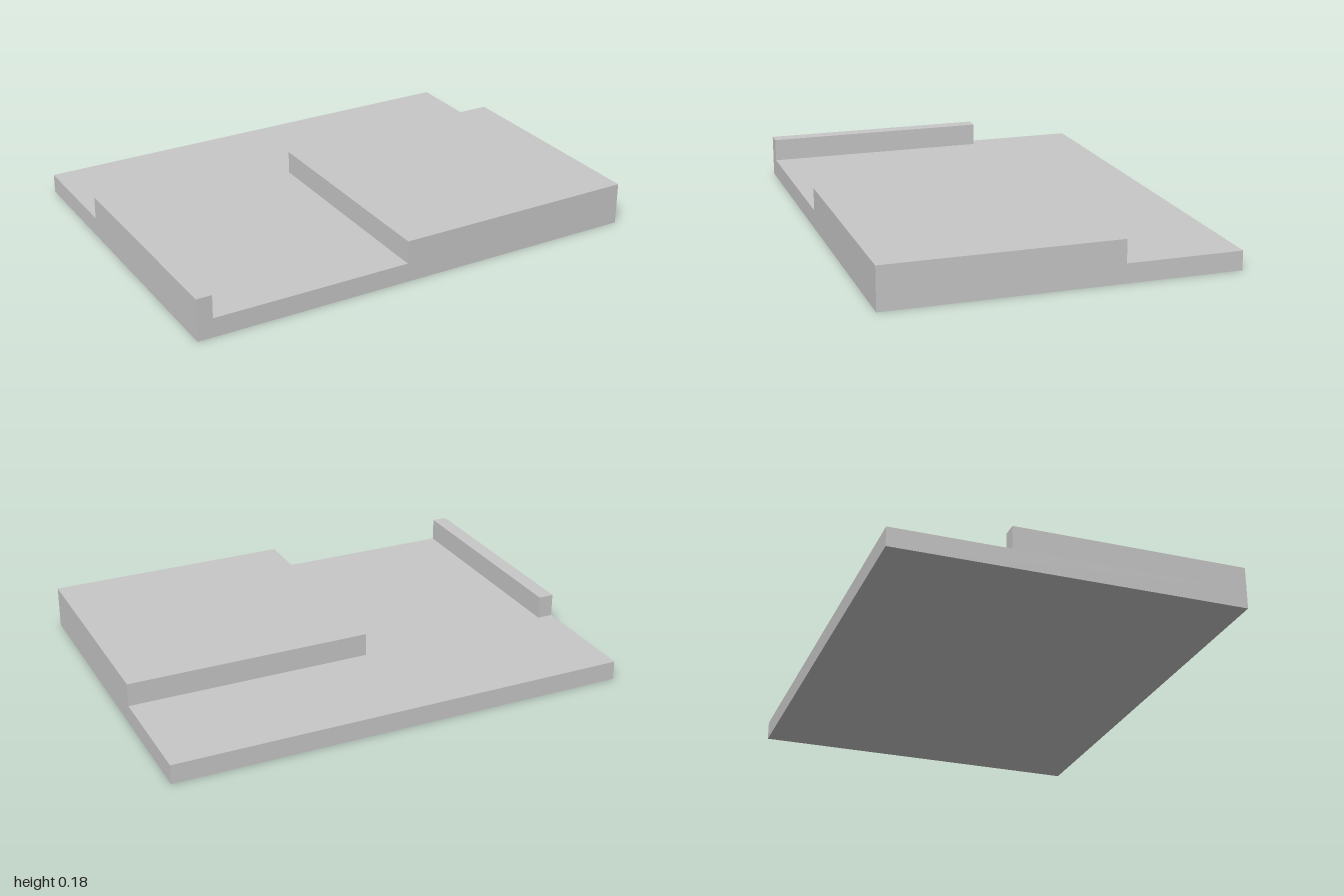
import * as THREE from 'three';

// Box given by its minimum and maximum corners
function block(name, min, max, material) {
  const size = max.map((v, i) => v - min[i]);
  const mesh = new THREE.Mesh(new THREE.BoxGeometry(...size), material);
  mesh.name = name;
  mesh.position.set(...max.map((v, i) => (v + min[i]) / 2));
  return mesh;
}

export function createModel() {
  const group = new THREE.Group();
  group.name = 'steppedSlab';

  const grey = new THREE.MeshStandardMaterial({ color: 0xc8c8c8 });
  grey.name = 'lightGrey';

  const slabTop = 0.083, top = 0.183;
  const front = 0.75, stepBack = -0.25;

  group.add(
    // Full-size base slab
    block('baseSlab', [-1, 0, -0.75], [1, slabTop, front], grey),
    // Raised platform on the front left
    block('platform', [-0.067, slabTop, stepBack], [1, top, front], grey),
    // Narrow curb along the right edge
    block('curb', [-1, slabTop, stepBack], [-0.933, top, front], grey),
  );
  return group;
}
